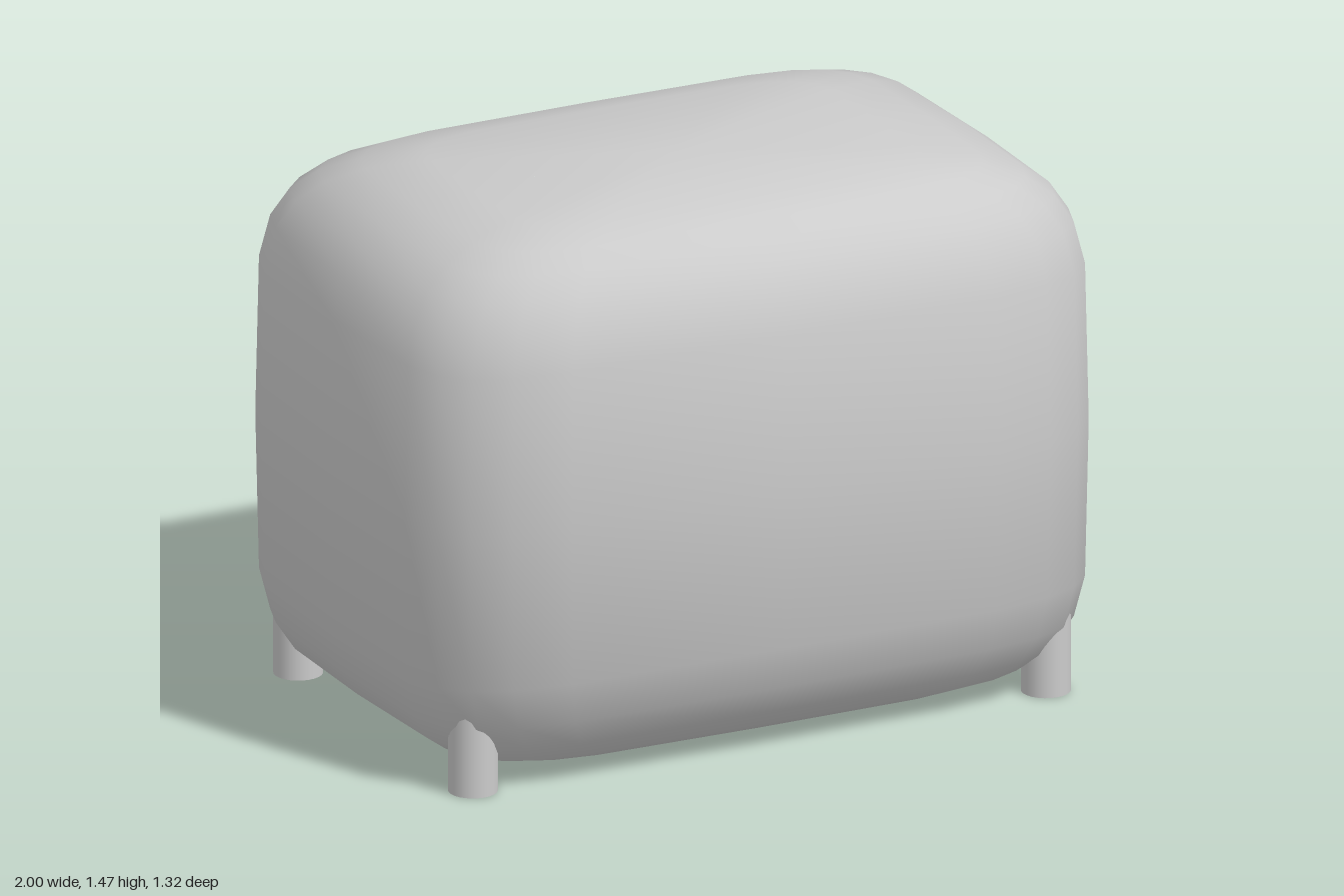
import * as THREE from 'three';

export function createModel() {
  const group = new THREE.Group();
  const material = new THREE.MeshStandardMaterial({ color: 0xcccccc });

  // Body: a sphere pushed out into a soft box, keeping its round, pillowy normals
  const halfSize = [1, 0.73, 0.66];
  const softness = 0.35;
  const squarish = (v) => Math.sign(v) * Math.pow(Math.abs(v), softness);
  const bodyGeometry = new THREE.SphereGeometry(1, 24, 14);
  const p = bodyGeometry.attributes.position;
  for (let i = 0; i < p.count; i++) {
    // Shape the ring and the height separately so the rows stay level
    const ring = Math.hypot(p.getX(i), p.getZ(i));
    const r = ring < 1e-6 ? 0 : squarish(ring);
    const cx = ring < 1e-6 ? 0 : squarish(p.getX(i) / ring);
    const cz = ring < 1e-6 ? 0 : squarish(p.getZ(i) / ring);
    p.setXYZ(i, halfSize[0] * r * cx, halfSize[1] * squarish(p.getY(i)), halfSize[2] * r * cz);
  }
  const body = new THREE.Mesh(bodyGeometry, material);
  body.name = 'body';
  body.position.y = 0.735;
  group.add(body);

  // Four short round feet, sunk into the lower corners
  const footHeight = 0.25;
  const footGeometry = new THREE.CylinderGeometry(0.065, 0.065, footHeight, 24);
  for (const [side, x] of [['Left', 0.835], ['Right', -0.835]]) {
    for (const [end, z] of [['front', 0.5], ['back', -0.5]]) {
      const foot = new THREE.Mesh(footGeometry, material);
      foot.name = `${end}${side}Foot`;
      foot.position.set(x, footHeight / 2, z);
      group.add(foot);
    }
  }
  return group;
}
